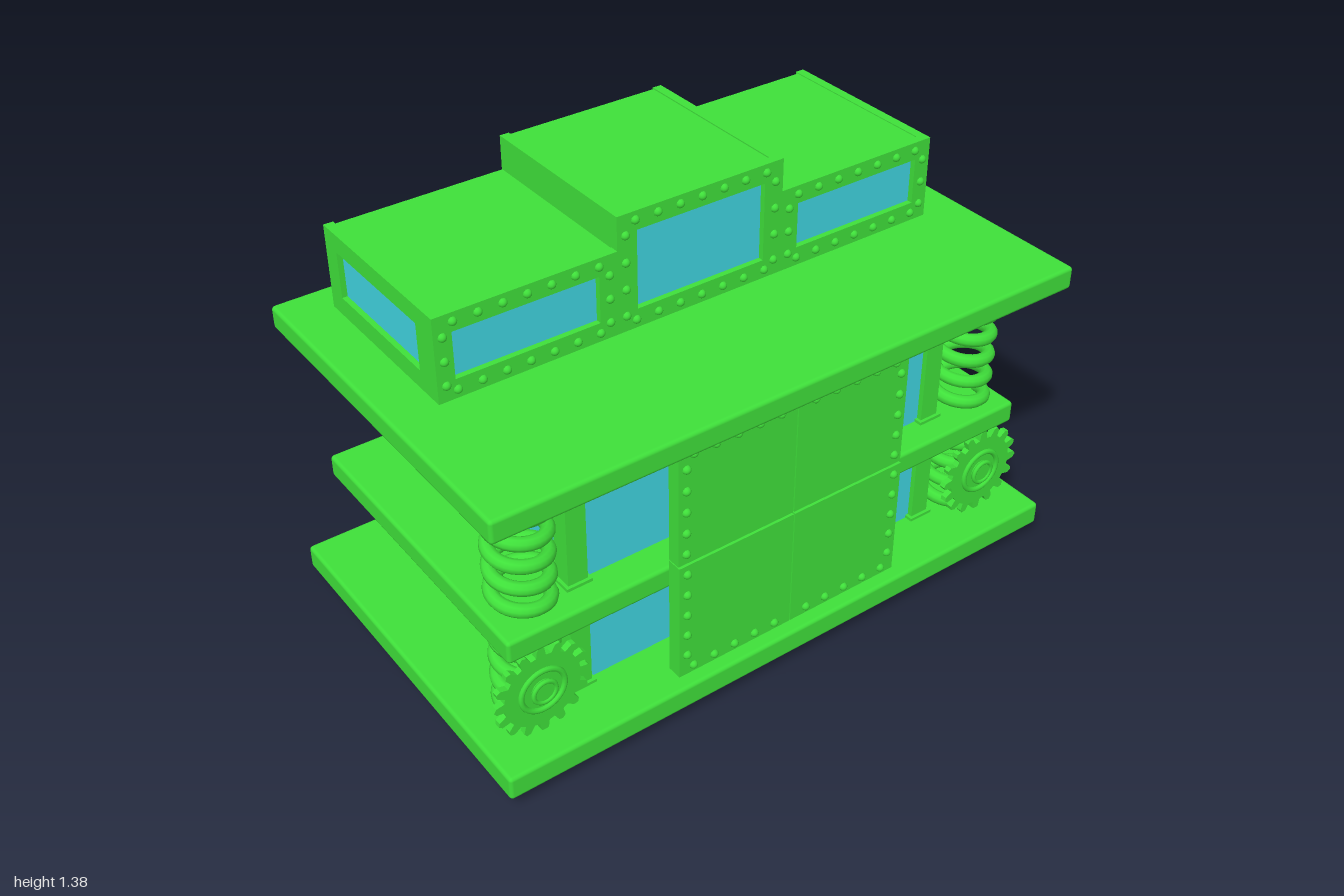
import * as THREE from 'three';
import { RoundedBoxGeometry } from 'three/addons/geometries/RoundedBoxGeometry.js';

const green = new THREE.MeshStandardMaterial({ color: 0x3fe03a });
const glass = new THREE.MeshStandardMaterial({ color: 0x40d4e0, side: THREE.DoubleSide });

export function createModel() {
  const model = new THREE.Group();

  const add = (name, geometry, material = green, parent = model) => {
    const mesh = new THREE.Mesh(geometry, material);
    mesh.name = name;
    parent.add(mesh);
    return mesh;
  };

  // Box given by its extents on each axis
  const box = (name, x0, x1, y0, y1, z0, z1, material = green, radius = 0) => {
    const size = [x1 - x0, y1 - y0, z1 - z0];
    const geometry = radius ? new RoundedBoxGeometry(...size, 2, radius) : new THREE.BoxGeometry(...size);
    const mesh = add(name, geometry, material);
    mesh.position.set((x0 + x1) / 2, (y0 + y1) / 2, (z0 + z1) / 2);
    return mesh;
  };

  // Flat pane facing +z
  const pane = (name, x0, x1, y0, y1, z) => {
    const mesh = add(name, new THREE.PlaneGeometry(x1 - x0, y1 - y0), glass);
    mesh.position.set((x0 + x1) / 2, (y0 + y1) / 2, z);
    return mesh;
  };

  const rect = (P, x0, x1, y0, y1) => new P([
    new THREE.Vector2(x0, y0), new THREE.Vector2(x1, y0),
    new THREE.Vector2(x1, y1), new THREE.Vector2(x0, y1)]);

  // Plate with a rectangular window opening
  const framePlate = (outer, inner, depth) => {
    const shape = rect(THREE.Shape, ...outer);
    shape.holes.push(rect(THREE.Path, ...inner));
    return new THREE.ExtrudeGeometry(shape, { depth, bevelEnabled: false });
  };

  // Rivet heads along a line on a front-facing surface
  const rivetGeometry = new THREE.SphereGeometry(0.014, 10, 4, 0, Math.PI * 2, 0, Math.PI / 2).rotateX(Math.PI / 2);
  const rivetRow = (x0, y0, x1, y1, count, z) => {
    for (let i = 0; i < count; i++) {
      const t = count > 1 ? i / (count - 1) : 0;
      add('rivet', rivetGeometry).position.set(x0 + (x1 - x0) * t, y0 + (y1 - y0) * t, z);
    }
  };

  // Three floor slabs
  box('bottomSlab', -1, 1, 0.045, 0.125, -0.6, 0.6, green, 0.012);
  box('middleSlab', -0.925, 0.925, 0.43, 0.505, -0.508, 0.505, green, 0.012);
  box('topSlab', -1, 1, 0.94, 1.015, -0.6, 0.6, green, 0.012);

  // Walls of the body
  pane('frontGlass', -0.63, 0.63, 0.1, 0.96, 0.40);
  box('backWall', -0.63, 0.63, 0.1, 0.96, -0.425, -0.405);

  // Coil spring path
  class Coil extends THREE.Curve {
    constructor(y0, y1, turns) {
      super();
      Object.assign(this, { y0, y1, turns });
    }
    getPoint(t, target = new THREE.Vector3()) {
      const a = t * this.turns * Math.PI * 2;
      return target.set(0.082 * Math.cos(a), this.y0 + (this.y1 - this.y0) * t, 0.082 * Math.sin(a));
    }
  }
  const upperSpring = new THREE.TubeGeometry(new Coil(0.515, 0.94, 5.6), 180, 0.021, 10);
  const lowerSpring = new THREE.TubeGeometry(new Coil(0.125, 0.435, 4.1), 140, 0.021, 10);

  // Toothed wheel
  const teeth = 16, gearShape = new THREE.Shape();
  for (let i = 0; i < teeth; i++) {
    [[-0.32, 0.123], [-0.2, 0.148], [0, 0.155], [0.2, 0.148], [0.32, 0.123]].forEach(([da, r], k) => {
      const a = (i + da) / teeth * Math.PI * 2;
      const p = [r * Math.cos(a), r * Math.sin(a)];
      if (i + k === 0) gearShape.moveTo(...p);
      else gearShape.lineTo(...p);
    });
  }
  gearShape.closePath();
  const gearGeometry = new THREE.ExtrudeGeometry(gearShape, { depth: 0.02, bevelEnabled: false });

  for (const s of [-1, 1]) {
    // Side glass reaches the ground through the slab
    const side = add('sideGlass', new THREE.PlaneGeometry(0.855, 0.95), glass);
    side.rotation.y = s * Math.PI / 2;
    side.position.set(s * 0.63, 0.475, -0.018);

    // Corner posts with foot plates
    for (const z of [-0.417, 0.385]) {
      for (const [y0, y1] of [[0.125, 0.43], [0.505, 0.94]]) {
        box('cornerPost', s * 0.645 - 0.032, s * 0.645 + 0.032, y0, y1, z - 0.032, z + 0.032);
        box('postFoot', s * 0.645 - 0.042, s * 0.645 + 0.042, y0, y0 + 0.01, z - 0.042, z + 0.042);
      }
    }

    add('upperSpring', upperSpring).position.set(s * 0.802, 0, 0.377);
    add('lowerSpring', lowerSpring).position.set(s * 0.802, 0, 0.377);

    const gear = new THREE.Group();
    gear.name = 'gear';
    gear.position.set(s * 0.82, 0.275, 0.475);
    add('gearWheel', gearGeometry, green, gear);
    add('gearRing', new THREE.TorusGeometry(0.07, 0.009, 8, 32), green, gear).position.z = 0.02;
    add('gearHub', new THREE.CylinderGeometry(0.038, 0.038, 0.035, 24).rotateX(Math.PI / 2), green, gear).position.z = 0.014;
    add('hubRim', new THREE.TorusGeometry(0.036, 0.007, 8, 24), green, gear).position.z = 0.03;
    model.add(gear);

    // Door leaves, upper and lower, with rivets round the outside
    const xs = [s * 0.002, s * 0.405].sort((a, b) => a - b);
    box('lowerDoor', ...xs, 0.12, 0.531, 0.506, 0.554);
    box('upperDoor', ...xs, 0.535, 0.942, 0.506, 0.549);
    rivetRow(s * 0.06, 0.15, s * 0.355, 0.15, 5, 0.553);
    rivetRow(s * 0.06, 0.905, s * 0.355, 0.905, 5, 0.548);
    rivetRow(s * 0.378, 0.2, s * 0.378, 0.5, 5, 0.553);
    rivetRow(s * 0.378, 0.57, s * 0.378, 0.86, 5, 0.548);
  }

  // Riveted front of one cabin section
  const cabinFront = (x0, x1, top, window, columns, rows) => {
    add('cabinFrontFrame', framePlate([x0, x1, 1.01, top], window, 0.028)).position.z = 0.08;
    const [wx0, wx1, wy0, wy1] = window;
    pane('cabinFrontGlass', wx0, wx1, wy0, wy1, 0.09);
    const m = 0.027;
    for (const y of [1.01 + m + 0.005, top - m]) rivetRow(x0 + 0.06, y, x1 - 0.06, y, columns, 0.106);
    for (const x of [x0 + m, x1 - m]) rivetRow(x, 1.065, x, top - 0.065, rows, 0.106);
  };
  cabinFront(-0.285, 0.285, 1.385, [-0.22, 0.22, 1.075, 1.325], 7, 4);

  // Cabin shell: back wall, raised centre and lower sides
  box('cabinBackWall', -0.84, 0.84, 1.01, 1.27, -0.475, -0.455);
  box('centreBackWall', -0.27, 0.27, 1.25, 1.375, -0.475, -0.455);
  box('centreRoof', -0.257, 0.257, 1.35, 1.381, -0.481, 0.082);
  for (const s of [-1, 1]) {
    const span = (a, b) => [s * a, s * b].sort((p, q) => p - q);
    const w = span(0.345, 0.8);
    cabinFront(...span(0.285, 0.855), 1.28, [...w, 1.075, 1.222], 7, 3);
    box('centreSideWall', ...span(0.255, 0.285), 1.23, 1.385, -0.484, 0.082);
    box('sideRoof', ...span(0.27, 0.827), 1.25, 1.277, -0.481, 0.082);

    // Outer wall with its window, turned to face outward
    const wall = add('cabinSideWall', framePlate([-0.49, 0.082, 1.01, 1.28], [-0.425, 0.017, 1.075, 1.222], 0.03));
    wall.rotation.y = -Math.PI / 2;
    wall.position.x = s > 0 ? 0.855 : -0.825;
    const sideWindow = add('cabinSideGlass', new THREE.PlaneGeometry(0.442, 0.147), glass);
    sideWindow.rotation.y = s * Math.PI / 2;
    sideWindow.position.set(s * 0.838, 1.1485, -0.204);
  }

  return model;
}
